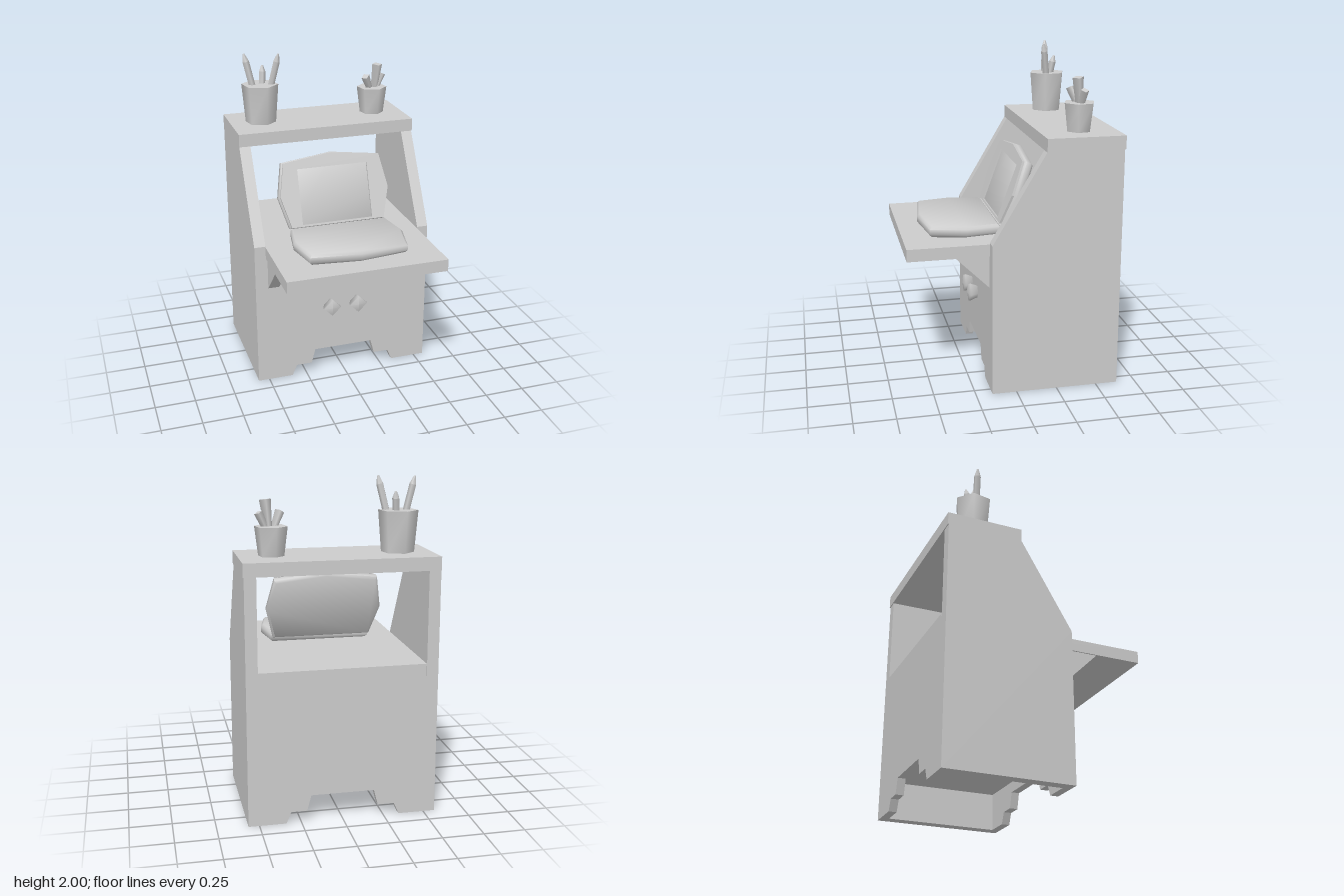
import * as THREE from 'three';
import { toCreasedNormals } from 'three/addons/utils/BufferGeometryUtils.js';

const grey = new THREE.MeshStandardMaterial({ color: 0xcccccc });
grey.name = 'plain grey';

const shapeOf = pts => new THREE.Shape(pts.map(([x, y]) => new THREE.Vector2(x, y)));

function add(parent, name, geo, x = 0, y = 0, z = 0) {
  const m = new THREE.Mesh(geo, grey);
  m.name = name;
  m.position.set(x, y, z);
  parent.add(m);
  return m;
}

function slab(parent, name, x0, x1, y0, y1, z0, z1) {
  return add(parent, name, new THREE.BoxGeometry(x1 - x0, y1 - y0, z1 - z0),
    (x0 + x1) / 2, (y0 + y1) / 2, (z0 + z1) / 2);
}

const extrude = (shape, depth) => new THREE.ExtrudeGeometry(shape, { depth, bevelEnabled: false });

// plate drawn in (z, y) and given a thickness along x, starting at x
function sidePlate(parent, name, pts, x, thickness) {
  const geo = extrude(shapeOf(pts.map(([z, y]) => [-z, y])), thickness);
  geo.rotateY(Math.PI / 2);
  return add(parent, name, geo, x);
}

// tapered stick between two points, with an optional sharpened tip
function stick(parent, name, from, to, rBottom, rTop, sides, tip = 0) {
  const a = new THREE.Vector3(...from), b = new THREE.Vector3(...to);
  const len = a.distanceTo(b);
  const g = new THREE.Group();
  g.name = name;
  add(g, 'shaft', new THREE.CylinderGeometry(rTop, rBottom, len - tip, sides), 0, (len - tip) / 2);
  if (tip) add(g, 'tip', new THREE.CylinderGeometry(0.006, rTop, tip, sides), 0, len - tip / 2);
  g.position.copy(a);
  g.quaternion.setFromUnitVectors(new THREE.Vector3(0, 1, 0), b.sub(a).normalize());
  parent.add(g);
}

export function createModel() {
  const model = new THREE.Group();
  model.name = 'writingDesk';

  // cabinet sides, shelf and desktop
  const profile = [[0.15, 0], [0.15, 0.94], [-0.17, 1.48], [-0.635, 1.48], [-0.635, 0]];
  sidePlate(model, 'leftSide', profile, 0.495, 0.07);
  sidePlate(model, 'rightSide', profile, -0.57, 0.07);
  slab(model, 'topShelf', -0.57, 0.57, 1.48, 1.56, -0.64, -0.17);
  slab(model, 'desktop', -0.498, 0.495, 0.855, 0.93, -0.635, 0.64);

  // front and back panels with a stepped cutout at the floor
  const panel = shapeOf([[-0.5, 0], [-0.345, 0], [-0.315, 0.07], [-0.215, 0.07], [-0.19, 0.165],
    [0.19, 0.165], [0.215, 0.07], [0.31, 0.07], [0.34, 0], [0.495, 0], [0.495, 0.855], [-0.5, 0.855]]);
  add(model, 'frontPanel', extrude(panel, 0.05), 0, 0, 0.1);
  add(model, 'backPanel', extrude(panel, 0.05), 0, 0, -0.635);
  slab(model, 'cabinetFloor', -0.5, 0.495, 0.23, 0.27, -0.59, 0.11);

  // brackets and knobs
  for (const x of [-0.49, 0.415])
    sidePlate(model, 'bracket', [[0.14, 0.655], [0.14, 0.856], [0.355, 0.856], [0.15, 0.655]], x, 0.07);
  for (const x of [-0.09, 0.085]) {
    const pts = [[0, 0], [0.036, 0], [0.058, 0.055], [0.055, 0.068], [0, 0.075]];
    const geo = new THREE.LatheGeometry(pts.map(p => new THREE.Vector2(...p)), 4);
    geo.rotateX(Math.PI / 2);
    add(model, 'knob', geo, x, 0.48, 0.14);
  }

  // laptop keyboard half
  const laptop = new THREE.Group();
  laptop.name = 'laptop';
  model.add(laptop);
  const b = 0.015;
  const bevel = { bevelEnabled: true, bevelSize: b, bevelThickness: b, bevelOffset: -b, bevelSegments: 1 };
  const base = new THREE.ExtrudeGeometry(shapeOf([[-0.315, -0.05], [0.315, -0.05], [0.347, -0.26],
    [0.3, -0.475], [0, -0.513], [-0.31, -0.475], [-0.352, -0.26]].reverse()), { depth: 0.035, ...bevel });
  base.rotateX(-Math.PI / 2);
  add(laptop, 'keyboardHalf', toCreasedNormals(base, 0.9), 0, 0.945, 0);

  // laptop lid, tilted back, with a recessed screen
  const lid = new THREE.Group();
  lid.name = 'lid';
  lid.position.set(0, 0.99, 0.055);
  lid.rotation.x = -0.35;
  laptop.add(lid);
  const outline = [[-0.31, 0], [0.31, 0], [0.36, 0.2], [0.318, 0.415], [0, 0.456], [-0.325, 0.415], [-0.365, 0.2]];
  const back = new THREE.ExtrudeGeometry(shapeOf(outline), { depth: 0.03, ...bevel });
  add(lid, 'lidBack', toCreasedNormals(back, 0.9), 0, 0, -0.057);
  const frame = shapeOf(outline.map(([x, y]) => [x * 0.975, 0.006 + y * 0.975]));
  frame.holes.push(new THREE.Path([[-0.232, 0.018], [-0.232, 0.367], [0.225, 0.367], [0.225, 0.018]]
    .map(p => new THREE.Vector2(...p))));
  add(lid, 'screenFrame', extrude(frame, 0.014), 0, 0, -0.014);

  // six-sided pots
  const cup = (name, x, rTop, rBottom, h) => {
    const g = new THREE.Group();
    g.name = name;
    model.add(g);
    const geo = new THREE.CylinderGeometry(rTop, rBottom, h, 6);
    add(g, 'pot', toCreasedNormals(geo, 1.1), x, 1.56 + h / 2, -0.41).rotation.y = 0.2;
    return g;
  };

  // pot of pencils
  const pencils = cup('pencilPot', -0.373, 0.117, 0.097, 0.245);
  stick(pencils, 'pencil', [-0.39, 1.65, -0.4], [-0.468, 2.0, -0.42], 0.022, 0.022, 5, 0.05);
  stick(pencils, 'pencil', [-0.37, 1.65, -0.4], [-0.345, 1.915, -0.45], 0.022, 0.022, 5, 0.04);
  stick(pencils, 'pencil', [-0.34, 1.65, -0.41], [-0.262, 2.0, -0.36], 0.022, 0.022, 5, 0.05);

  // small pot with flared stubs
  const stubs = cup('smallPot', 0.376, 0.097, 0.076, 0.17);
  stick(stubs, 'stub', [0.385, 1.66, -0.41], [0.405, 1.88, -0.39], 0.018, 0.034, 4);
  stick(stubs, 'stub', [0.375, 1.68, -0.41], [0.318, 1.81, -0.37], 0.016, 0.028, 4);
  stick(stubs, 'stub', [0.39, 1.68, -0.41], [0.448, 1.81, -0.42], 0.016, 0.026, 4);

  return model;
}
